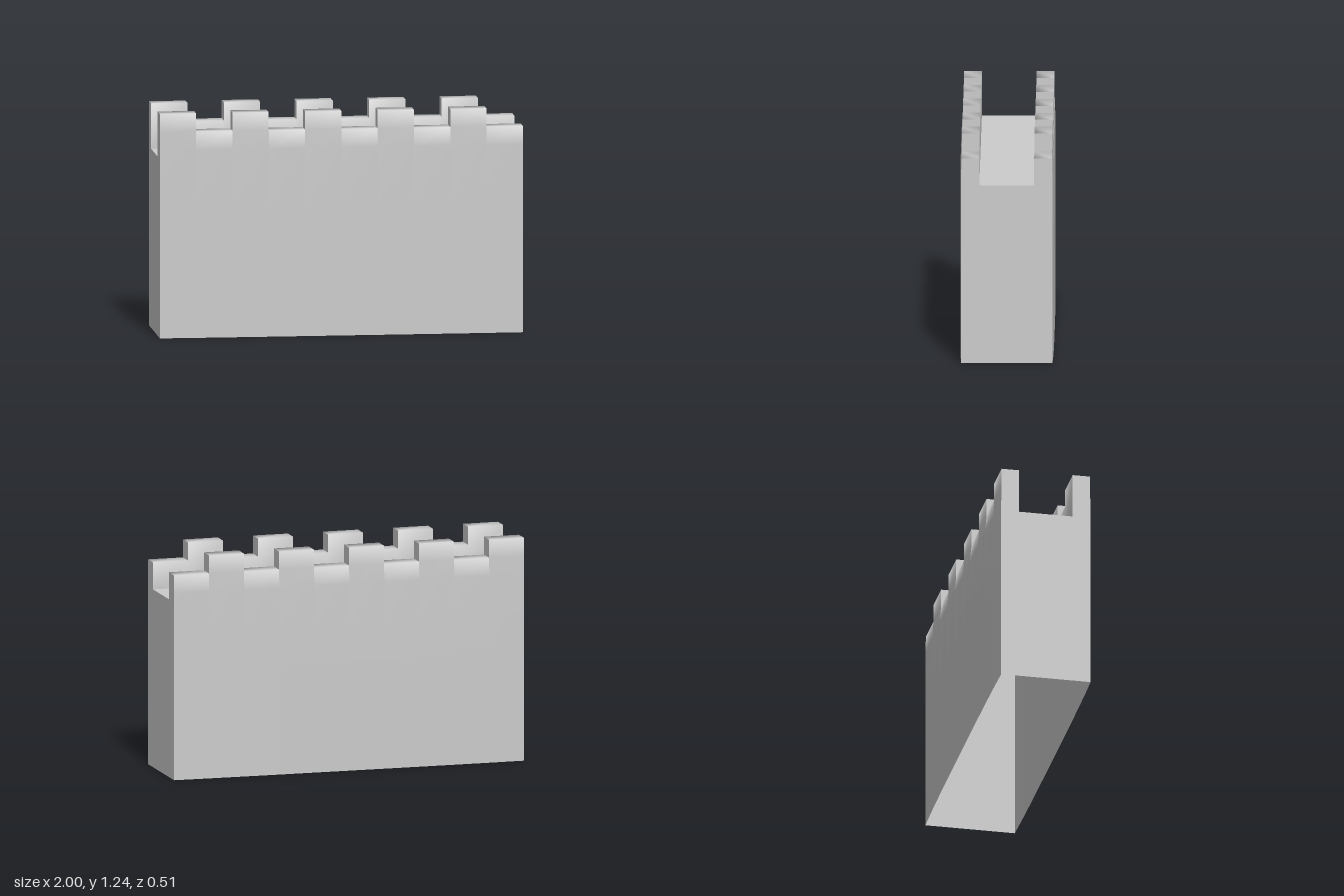
import * as THREE from 'three';

const FLOOR = 0.99, LOW = 1.14, HIGH = 1.24, INNER = 0.15, TOP_Z = 0.247;
const COLUMNS = 10, WIDTH = 2 / COLUMNS;

// slight outward bulge of the long walls
const bulge = (x) => 0.25 + 0.006 * (1 - x ** 4);

// cross-section of one parapet [z, y]: up the outside, over, down the inside
function profile(x, h) {
  const z = bulge(x);
  const pts = [[z, 0], [z, 0.6], [z, 1.04], [TOP_Z, LOW]];
  if (h > LOW) pts.push([TOP_Z, h]);
  pts.push([INNER, h], [INNER, FLOOR]);
  return pts;
}
const mirrored = (pts) => pts.map(([z, y]) => [-z, y]).reverse();

// smooth surface between two cross-sections
function strip(x0, pts0, x1, pts1) {
  const pos = [], index = [];
  pts0.forEach(([z, y], i) => {
    pos.push(x0, y, z, x1, pts1[i][1], pts1[i][0]);
    if (i) {
      const a = 2 * i - 2;
      index.push(a, a + 1, a + 3, a, a + 3, a + 2);
    }
  });
  const g = new THREE.BufferGeometry();
  g.setAttribute('position', new THREE.Float32BufferAttribute(pos, 3));
  g.setIndex(index);
  g.computeVertexNormals();
  return g;
}

export function createModel() {
  const group = new THREE.Group();
  const material = new THREE.MeshStandardMaterial({ color: 0xcccccc, side: THREE.DoubleSide });
  const add = (name, geometry) => {
    const mesh = new THREE.Mesh(geometry, material);
    mesh.name = name;
    group.add(mesh);
    return mesh;
  };

  // walls with alternating merlons and gaps
  for (let i = 0; i < COLUMNS; i++) {
    const x0 = -1 + i * WIDTH, x1 = x0 + WIDTH;
    const merlon = i % 2 === 0;
    const h = merlon ? HIGH : LOW;
    const p0 = profile(x0, h), p1 = profile(x1, h);
    const label = merlon ? 'Merlon' : 'Gap';
    add('frontWall' + label, strip(x0, p0, x1, p1));
    add('backWall' + label, strip(x0, mirrored(p0), x1, mirrored(p1)));

    // upright cheeks of the merlons
    if (i > 0) {
      for (const side of [1, -1]) {
        const cheek = add('merlonCheek', new THREE.PlaneGeometry(TOP_Z - INNER, HIGH - LOW));
        cheek.rotation.y = merlon ? -Math.PI / 2 : Math.PI / 2;
        cheek.position.set(x0, (LOW + HIGH) / 2, side * (TOP_Z + INNER) / 2);
      }
    }
  }

  // walkway between the parapets
  add('walkway', strip(-1, [[INNER, FLOOR], [-INNER, FLOOR]], 1, [[INNER, FLOOR], [-INNER, FLOOR]]));

  // flat ends; the base stays open
  for (const [x, h] of [[-1, HIGH], [1, LOW]]) {
    const half = profile(x, h);
    const outline = [...half, ...mirrored(half)].map(([z, y]) => new THREE.Vector2(z, y));
    const end = add('endWall', new THREE.ShapeGeometry(new THREE.Shape(outline)));
    end.rotation.y = x * Math.PI / 2;
    end.position.x = x;
  }

  return group;
}
